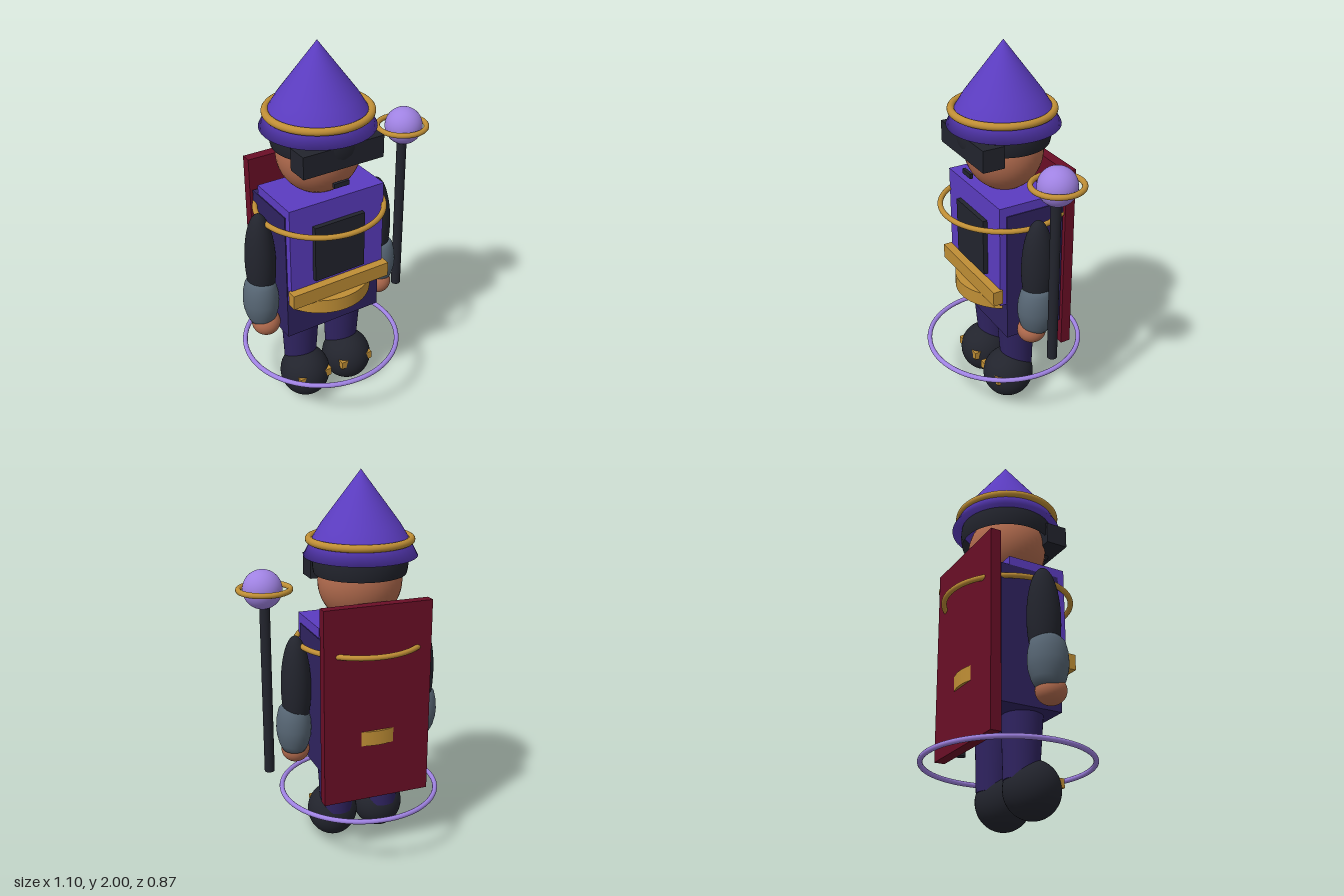
import * as THREE from 'three';

const mat = (name, color, side = THREE.FrontSide) => {
  const m = new THREE.MeshStandardMaterial({ color, side });
  m.name = name;
  return m;
};

export function createModel() {
  const purple = mat('robe purple', 0x5b3cc0, THREE.DoubleSide);
  const indigo = mat('deep indigo', 0x2f2360);
  const gold = mat('gold', 0xbf8e35);
  const lavender = mat('lavender', 0x9f82e2);
  const crimson = mat('crimson', 0x6a0e26);
  const black = mat('charcoal', 0x22242d, THREE.DoubleSide);
  const slate = mat('slate', 0x566573);
  const skin = mat('skin', 0xb06a4d);

  const model = new THREE.Group();
  model.name = 'wizardFigure';

  // The figure stands left of the origin; the staff balances it on the other side
  const figure = new THREE.Group();
  figure.name = 'figure';
  figure.position.set(-0.097, 0, -0.005);
  model.add(figure);

  const add = (parent, name, geometry, material, x, y, z) => {
    const mesh = new THREE.Mesh(geometry, material);
    mesh.name = name;
    mesh.position.set(x, y, z);
    parent.add(mesh);
    return mesh;
  };
  // Box given by its lower and upper limits on y and z
  const box = (name, material, w, y0, y1, z0, z1, x = 0) =>
    add(figure, name, new THREE.BoxGeometry(w, y1 - y0, z1 - z0), material, x, (y0 + y1) / 2, (z0 + z1) / 2);
  const ball = (parent, name, material, rx, ry, rz, x, y, z) =>
    add(parent, name, new THREE.SphereGeometry(1, 40, 28).scale(rx, ry, rz), material, x, y, z);
  const ring = (parent, name, material, radius, tube, x, y, z) =>
    add(parent, name, new THREE.TorusGeometry(radius, tube, 14, 72).rotateX(Math.PI / 2), material, x, y, z);
  const lathe = (points) =>
    new THREE.LatheGeometry(points.map(([r, y]) => new THREE.Vector2(r, y)), 48);

  // Robe, chest panel, belt and cape
  box('robe', indigo, 0.555, 0.49, 1.21, -0.19, 0.135);
  box('tunic', purple, 0.545, 0.7, 1.26, -0.142, 0.173);
  box('chestPanel', black, 0.29, 0.83, 1.14, 0.165, 0.198);
  box('belt', gold, 0.57, 0.72, 0.8, 0.165, 0.218);
  add(figure, 'waistBand', new THREE.CylinderGeometry(0.265, 0.265, 0.078, 56), gold, 0, 0.683, -0.003);
  box('cape', crimson, 0.578, 0.34, 1.38, -0.253, -0.198);
  ring(figure, 'shoulderRing', gold, 0.327, 0.014, 0, 1.14, 0);
  ring(figure, 'groundRing', lavender, 0.42, 0.013, 0, 0.295, 0);

  // Head, hair and face
  ball(figure, 'head', skin, 0.218, 0.22, 0.2, 0, 1.45, -0.003);
  add(figure, 'hair', new THREE.SphereGeometry(0.243, 40, 20, 0, Math.PI * 2, 0, 1.82), black, 0, 1.55, -0.003);
  box('visor', black, 0.447, 1.445, 1.56, 0.115, 0.232);
  box('mouth', black, 0.084, 1.335, 1.36, 0.193, 0.21);

  // Pointed hat with a flared brim
  add(figure, 'hat', lathe([[0, 1.6], [0.2, 1.6], [0.288, 1.58], [0.243, 1.665], [0.2, 1.735], [0.1, 1.868], [0.001, 2]]),
    purple, 0, 0, -0.006);
  ring(figure, 'hatBand', gold, 0.256, 0.019, 0, 1.66, 0);

  // Mirrored limbs
  const gauntlet = [[0, 0.56], [0.06, 0.565], [0.076, 0.6], [0.088, 0.65], [0.091, 0.69],
    [0.088, 0.74], [0.077, 0.79], [0.06, 0.812], [0, 0.82]];
  for (const s of [1, -1]) {
    const side = s > 0 ? 'left' : 'right';

    ball(figure, side + 'Arm', black, 0.077, 0.275, 0.085, s * 0.35, 0.915, 0);
    const cuff = add(figure, side + 'Gauntlet', lathe(gauntlet), slate, s * 0.363, 0, 0.01);
    cuff.scale.z = 1.12;
    ball(figure, side + 'Hand', skin, 0.074, 0.07, 0.076, s * 0.35, 0.555, 0.03);

    const leg = add(figure, side + 'Leg', new THREE.CylinderGeometry(0.107, 0.085, 0.42, 36), indigo, s * 0.132, 0.385, 0);
    leg.rotation.x = 0.03;
    ball(figure, side + 'Boot', black, 0.135, 0.143, 0.14, s * 0.135, 0.143, 0.05);
    box(side + 'BootBuckle', gold, 0.195, 0.145, 0.19, 0.133, 0.168, s * 0.132);

    ball(figure, side + 'Eye', black, 0.026, 0.026, 0.02, s * 0.074, 1.454, 0.19);
  }

  // Staff with a ringed orb
  const staff = new THREE.Group();
  staff.name = 'staff';
  staff.position.set(0.407, 0, -0.005);
  model.add(staff);
  add(staff, 'staffPole', new THREE.CylinderGeometry(0.026, 0.026, 0.925, 24), black, 0, 0.928, 0);
  ball(staff, 'staffOrb', lavender, 0.098, 0.098, 0.098, 0.008, 1.447, 0);
  ring(staff, 'orbRing', gold, 0.127, 0.014, 0, 1.447, -0.005);

  return model;
}
